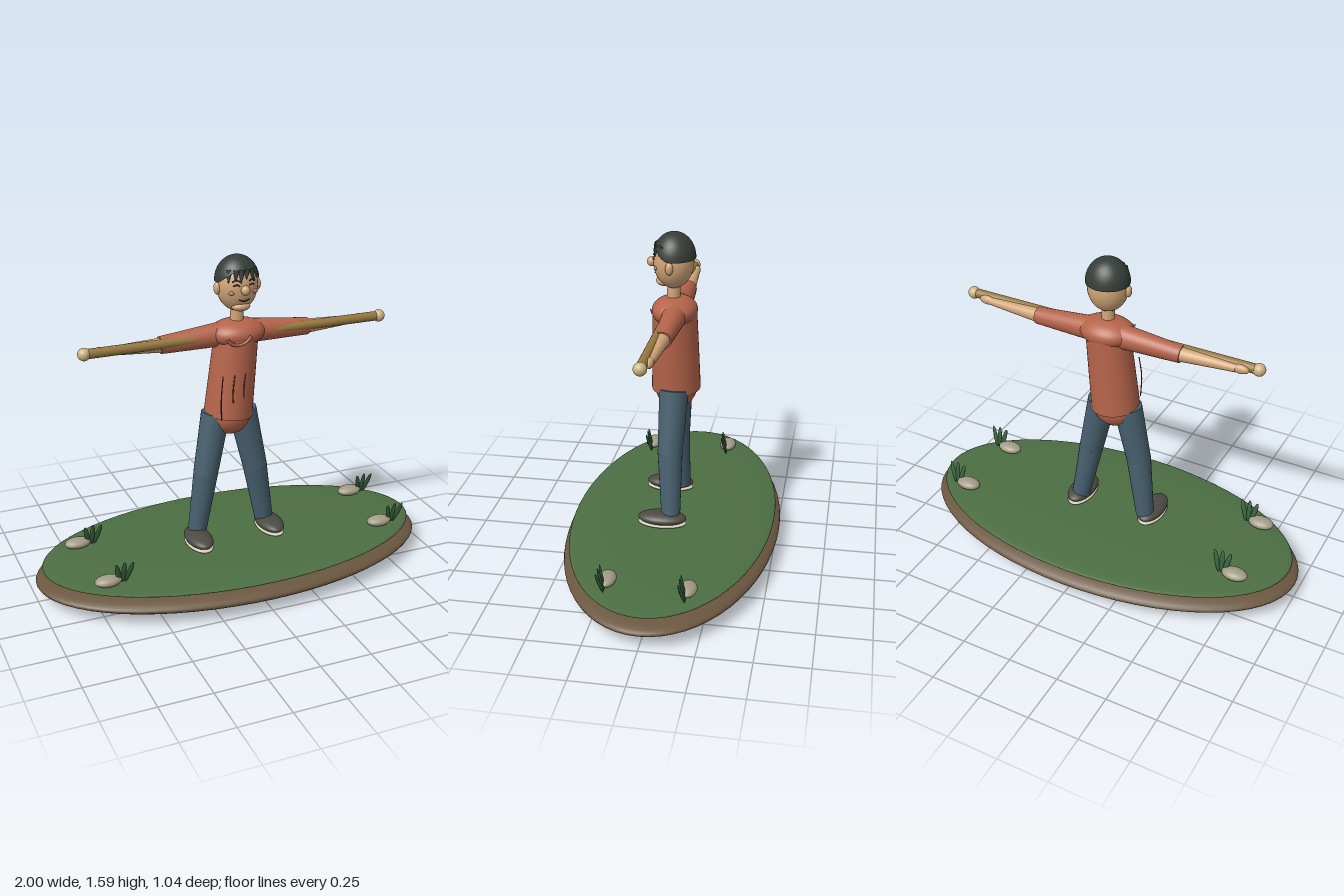
import * as THREE from 'three';

const material = (color, side = THREE.FrontSide) => new THREE.MeshStandardMaterial({ color, side });
const soil = material(0x6b5740), grass = material(0x4c6e43), blade = material(0x35603a);
const stone = material(0xa39c86), skin = material(0xd2a679), shirt = material(0xb5644a);
const denim = material(0x48616f), leather = material(0x4b4b43), rubber = material(0xd5cdb5);
const wood = material(0x96783f), knob = material(0xcdb580), dark = material(0x2a2520);
const blush = material(0xc98264), crease = material(0x6e3524);
const hairMat = material(0x363d37, THREE.DoubleSide);

const v = (x, y, z) => new THREE.Vector3(x, y, z);
const UP = v(0, 1, 0);

export function createModel() {
  const model = new THREE.Group();
  model.name = 'figureOnGround';

  function add(name, geometry, mat, pos = [0, 0, 0], parent = model) {
    const mesh = new THREE.Mesh(geometry, mat);
    mesh.name = name;
    mesh.position.set(...pos);
    parent.add(mesh);
    return mesh;
  }

  function ellipsoid(name, mat, pos, radii, parent, w = 32, h = 20) {
    const mesh = add(name, new THREE.SphereGeometry(1, w, h), mat, pos, parent);
    mesh.scale.set(...radii);
    return mesh;
  }

  // Tapered cylinder from point a to point b
  function limb(name, mat, a, b, ra, rb, parent, sides = 24) {
    const dir = b.clone().sub(a);
    const mid = a.clone().add(b).multiplyScalar(0.5);
    const mesh = add(name, new THREE.CylinderGeometry(rb, ra, dir.length(), sides), mat, mid.toArray(), parent);
    mesh.quaternion.setFromUnitVectors(UP, dir.normalize());
    return mesh;
  }

  function line(name, mat, points, radius, parent) {
    const curve = new THREE.CatmullRomCurve3(points.map((p) => v(...p)));
    return add(name, new THREE.TubeGeometry(curve, 14, radius, 6), mat, [0, 0, 0], parent);
  }

  // Ground
  ellipsoid('soilBase', soil, [0, 0.08, 0], [1, 0.08, 0.52], model, 64, 32);
  ellipsoid('grassTop', grass, [0, 0.145, 0], [0.965, 0.025, 0.495], model, 64, 24);

  // Stones, each with a tuft of three blades
  for (const [x, z] of [[-0.75, -0.17], [-0.72, 0.24], [0.755, -0.18], [0.73, 0.19]]) {
    const patch = new THREE.Group();
    patch.name = 'stoneAndTuft';
    patch.position.set(x, 0.16, z);
    model.add(patch);
    ellipsoid('stone', stone, [0, 0.02, 0], [0.065, 0.026, 0.043], patch, 20, 12);
    for (const i of [-1, 0, 1]) {
      const base = v(0.07 + i * 0.012, 0, 0), tip = v(0.075 + i * 0.042, 0.115 - Math.abs(i) * 0.006, 0.026);
      const leaf = limb('grassBlade', blade, base, tip, 1, 1, patch, 10);
      leaf.geometry = new THREE.SphereGeometry(0.5, 10, 10);
      leaf.scale.set(0.026, base.distanceTo(tip), 0.012);
    }
  }

  // Legs and shoes
  for (const [side, hip, knee, ankle, shoe] of [
    ['right', v(-0.085, 0.83, 0), v(-0.143, 0.53, 0.012), v(-0.188, 0.21, 0), [-0.202, 0.21, 0.06]],
    ['left', v(0.052, 0.83, 0), v(0.117, 0.53, 0.008), v(0.176, 0.21, -0.005), [0.187, 0.21, 0.035]],
  ]) {
    const leg = new THREE.Group();
    leg.name = side + 'Leg';
    model.add(leg);
    limb('thigh', denim, hip, knee, 0.07, 0.06, leg);
    ellipsoid('knee', denim, knee.toArray(), [0.06, 0.06, 0.06], leg);
    limb('shin', denim, knee, ankle, 0.06, 0.045, leg);
    ellipsoid('shoe', leather, shoe, [0.063, 0.031, 0.118], leg);
    ellipsoid('sole', rubber, [shoe[0], 0.184, shoe[2]], [0.062, 0.013, 0.118], leg);
  }

  // Shirt: leaning body, hips and shoulders
  ellipsoid('hips', shirt, [-0.02, 0.82, 0], [0.113, 0.103, 0.1]);
  limb('torso', shirt, v(-0.021, 0.82, 0), v(0.022, 1.22, 0), 0.117, 0.104, model, 40);
  ellipsoid('shoulders', shirt, [0.024, 1.222, 0], [0.137, 0.068, 0.107]);
  const collar = add('collar', new THREE.TorusGeometry(0.062, 0.008, 8, 24, Math.PI * 0.8), shirt, [-0.005, 1.245, 0.104]);
  collar.rotation.z = Math.PI * 1.1;
  collar.scale.y = 0.85;

  // Shirt creases
  for (const [x, low, high] of [[-0.095, 0.83, 1.05], [-0.035, 0.9, 1.05], [0.02, 0.92, 1.05]]) {
    line('crease', crease, [[x - 0.004, low, 0.108], [x - 0.006, (low + high) / 2, 0.113], [x + 0.006, high, 0.106]], 0.003);
  }

  // Outstretched arms
  for (const [side, s] of [['right', -1], ['left', 1]]) {
    const arm = new THREE.Group();
    arm.name = side + 'Arm';
    arm.position.x = 0.018;
    model.add(arm);
    limb('sleeve', shirt, v(s * 0.08, 1.217, -0.01), v(s * 0.375, 1.203, -0.005), 0.058, 0.041, arm);
    limb('forearm', skin, v(s * 0.36, 1.203, -0.005), v(s * 0.64, 1.208, -0.003), 0.035, 0.019, arm);
    ellipsoid('hand', skin, [s * 0.66, 1.21, -0.004], [0.042, 0.022, 0.018], arm);
  }

  // Staff held along the arms
  limb('staff', wood, v(-0.722, 1.216, 0.02), v(0.768, 1.216, 0.02), 0.023, 0.023);
  for (const x of [-0.722, 0.768]) ellipsoid('staffKnob', knob, [x, 1.216, 0.02], [0.03, 0.03, 0.03]);

  // Head
  const head = new THREE.Group();
  head.name = 'head';
  head.position.set(0.022, 1.455, 0.005);
  model.add(head);
  limb('neck', skin, v(0, -0.2, 0), v(0, -0.09, 0), 0.032, 0.03, head);
  ellipsoid('skull', skin, [0, 0, 0], [0.098, 0.125, 0.094], head);
  ellipsoid('nose', skin, [0, -0.005, 0.103], [0.021, 0.023, 0.022], head);
  ellipsoid('chin', skin, [0, -0.093, 0.045], [0.046, 0.024, 0.037], head);
  line('mouth', dark, [[-0.026, -0.052, 0.086], [0, -0.059, 0.088], [0.026, -0.052, 0.086]], 0.003, head);
  for (const s of [-1, 1]) {
    ellipsoid('ear', skin, [s * 0.1, -0.008, 0.005], [0.017, 0.03, 0.018], head);
    ellipsoid('cheek', blush, [s * 0.056, -0.02, 0.075], [0.016, 0.01, 0.008], head);
    line('closedEye', dark, [[s * 0.022, 0.014, 0.093], [s * 0.037, 0.021, 0.089], [s * 0.052, 0.014, 0.081]], 0.003, head);
    line('eyebrow', dark, [[s * 0.02, 0.034, 0.091], [s * 0.038, 0.041, 0.085], [s * 0.055, 0.033, 0.077]], 0.003, head);
  }

  // Hair cap: the front of the rim is lifted clear of the forehead
  const cap = new THREE.SphereGeometry(1, 40, 16, 0, Math.PI * 2, 0, Math.PI / 2);
  const p = cap.attributes.position;
  for (let i = 0; i < p.count; i++) {
    const angle = Math.atan2(p.getZ(i), Math.abs(p.getX(i)));
    const rim = 0.48 * THREE.MathUtils.smoothstep(angle, 0.1, 1.2);
    const y = rim + p.getY(i) * (1 - rim);
    const r = Math.hypot(p.getX(i), p.getZ(i)) || 1;
    const k = Math.sqrt(Math.max(0, 1 - y * y)) / r;
    p.setXYZ(i, p.getX(i) * k, y, p.getZ(i) * k);
  }
  cap.computeVertexNormals();
  add('hair', cap, hairMat, [0, 0.02, -0.002], head).scale.set(0.105, 0.119, 0.101);

  // Fringe locks
  for (const [x, tip, drop] of [[-0.058, -0.07, 0.045], [-0.032, -0.042, 0.035], [-0.008, -0.018, 0.045], [0.018, 0.01, 0.028], [0.042, 0.05, 0.042], [0.066, 0.074, 0.03]]) {
    const z = (q, y) => 0.098 * Math.sqrt(Math.max(0.1, 1 - (q / 0.1) ** 2 - (y / 0.127) ** 2));
    limb('fringeLock', hairMat, v(x, 0.082, z(x, 0.082)), v(tip, 0.072 - drop, z(tip, 0.072 - drop)), 0.016, 0.002, head, 10);
  }

  return model;
}
